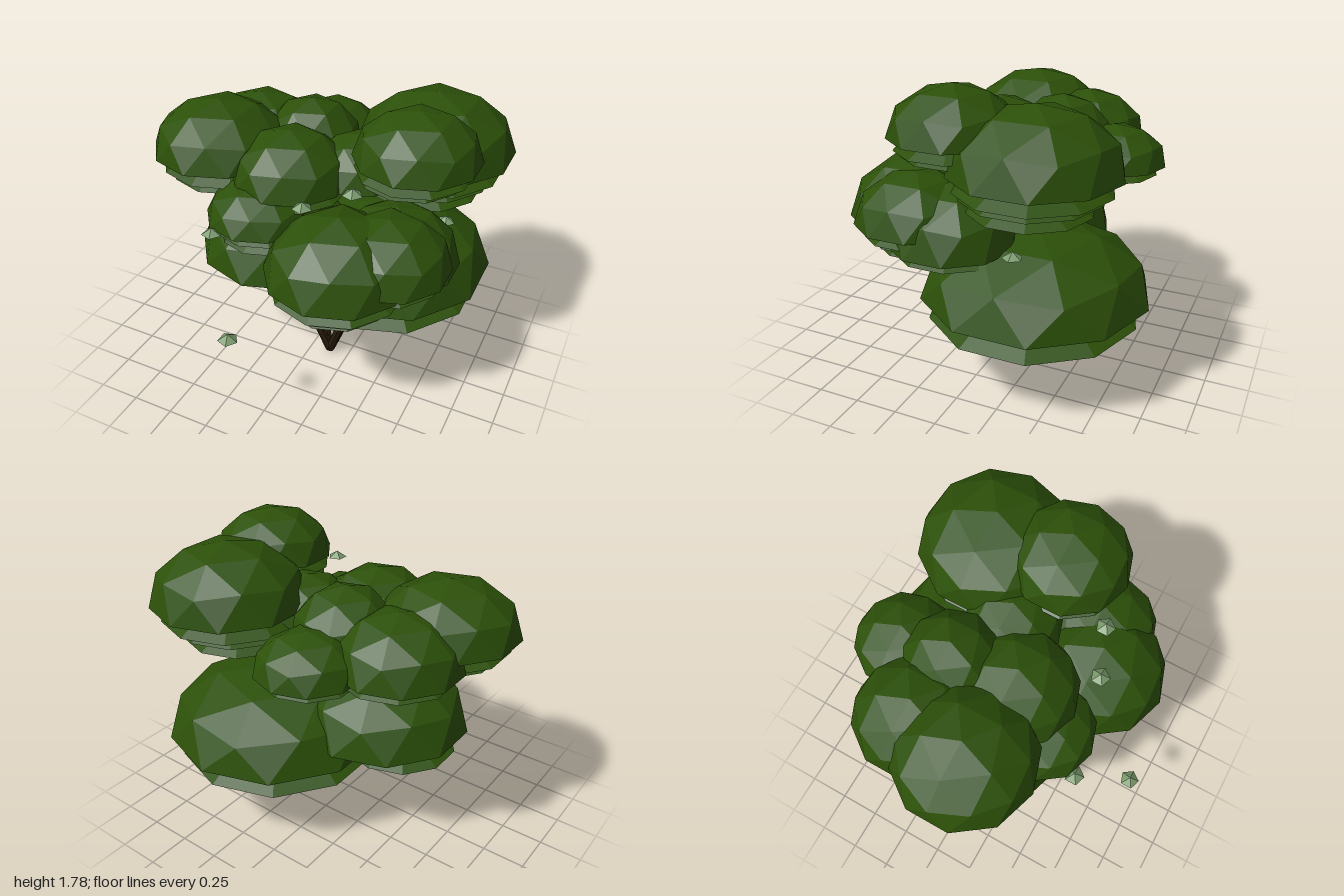
import * as THREE from 'three';

const mat = (name, color) => {
  const m = new THREE.MeshStandardMaterial({ color, flatShading: true });
  m.name = name;
  return m;
};

// Upper half of a low-poly sphere, pole up, with a flat closed underside
function domeGeometry() {
  const g = new THREE.IcosahedronGeometry(1, 1);
  g.rotateX(-Math.atan((1 + Math.sqrt(5)) / 2));
  g.rotateY(-Math.PI / 2);
  const p = g.attributes.position;
  for (let i = 0; i < p.count; i++) p.setY(i, Math.max(0, p.getY(i)));
  g.computeVertexNormals();
  return g;
}

// Straight tapered cylinder between two points
function limb(a, b, r0, r1, material) {
  const d = b.clone().sub(a);
  const mesh = new THREE.Mesh(new THREE.CylinderGeometry(r1, r0, d.length(), 7), material);
  mesh.position.copy(a).addScaledVector(d, 0.5);
  mesh.quaternion.setFromUnitVectors(new THREE.Vector3(0, 1, 0), d.normalize());
  return mesh;
}

export function createModel() {
  const tree = new THREE.Group();
  tree.name = 'tree';
  const leafGreen = mat('leaf green', 0x2c5009);
  const paleGreen = mat('pale green', 0x7a9a6c);
  const bark = mat('bark brown', 0x2b1d0a);
  const dome = domeGeometry();
  const skirt = new THREE.ConeGeometry(1, 0.55, 10).translate(0, 0.275, 0);
  const tuft = new THREE.ConeGeometry(0.058, 0.038, 5).translate(0, 0.019, 0).rotateY(0.3);
  const foot = new THREE.Vector3(0.125, 0.005, 0.095);

  function place(parent, name, geometry, material, x, y, z, r = 1, h = r) {
    const mesh = new THREE.Mesh(geometry, material);
    mesh.name = name;
    mesh.position.set(x, y, z);
    mesh.scale.set(r, h, r);
    parent.add(mesh);
  }

  // A crown dome with sharp-edged skirts below, each narrower and nearer the trunk
  function addClump(name, x, y, z, r, h, ...drops) {
    const clump = new THREE.Group();
    clump.name = name;
    place(clump, 'crown', dome, leafGreen, x, y, z, r, h);
    drops.forEach((drop, i) => {
      const inset = 0.03 * (i + 1);
      const sx = THREE.MathUtils.lerp(x, foot.x, inset);
      const sz = THREE.MathUtils.lerp(z, foot.z, inset);
      place(clump, 'skirt', skirt, leafGreen, sx, y - drop, sz, r * (1.01 - 0.09 * (i + 1)));
    });
    tree.add(clump);
  }

  // A trunk from the shared foot to an elbow, then a thinner branch up into a clump
  function addBranch(x, y, z) {
    const branch = new THREE.Group();
    branch.name = 'branch';
    const elbowX = x > 0.2 ? 0.32 : -0.05 + 0.06 * x;
    const elbow = new THREE.Vector3(elbowX, 0.56, 0.09 + 0.4 * (z - 0.1));
    branch.add(limb(foot, elbow, 0.028, 0.026, bark));
    branch.add(limb(elbow.clone().lerp(foot, 0.06), new THREE.Vector3(x, y, z), 0.022, 0.015, bark));
    tree.add(branch);
  }

  // Upper clumps
  addClump('backRightClump', 0.56, 1.35, -0.39, 0.465, 0.35, 0.09, 0.14, 0.22);
  addClump('topClump', 0.6, 1.5, 0.05, 0.35, 0.27, 0.07, 0.11);
  addClump('leftClump', -0.61, 1.31, 0.07, 0.41, 0.3, 0.08, 0.13);
  addClump('middleClump', -0.12, 1.25, 0.12, 0.35, 0.29, 0.06);
  addClump('backMiddleClump', -0.17, 1.25, -0.26, 0.31, 0.325, 0.06);
  addClump('backClump', -0.17, 1.21, -0.58, 0.3, 0.22, 0.05);
  addClump('backLeftClump', -0.53, 1.23, -0.29, 0.36, 0.3, 0.06);
  addClump('innerClump', 0.22, 1.25, -0.1, 0.29, 0.24);

  // Lower clumps
  addClump('frontSmallClump', -0.21, 1.09, 0.33, 0.31, 0.21, 0.05, 0.12);
  addClump('frontClump', 0.32, 0.915, 0.43, 0.415, 0.355, 0.095, 0.14, 0.195);
  addClump('rightClump', 0.56, 0.97, 0.31, 0.355, 0.285, 0.06);
  addClump('rightBackClump', 0.53, 0.87, 0.11, 0.37, 0.34, 0.05);
  addClump('lowerLeftClump', -0.27, 0.66, -0.02, 0.51, 0.38);
  addClump('lowerBackClump', 0.32, 0.56, -0.3, 0.66, 0.39, 0.135);
  place(tree, 'lowerLeftSkirt', skirt, leafGreen, -0.31, 0.605, 0.05, 0.38);
  place(tree, 'lowerLeftSkirt', skirt, leafGreen, -0.4, 0.54, -0.03, 0.33);

  // Branches, ending inside the clumps
  addBranch(-0.38, 1.34, 0.07);
  addBranch(-0.2, 1.12, 0.33);
  addBranch(-0.12, 1.28, 0.12);
  addBranch(-0.15, 1.27, -0.2);
  addBranch(0.52, 1.37, -0.36);
  addBranch(0.43, 1.3, -0.3);
  addBranch(0.47, 1.4, -0.1);
  addBranch(0.52, 1.0, 0.3);
  addBranch(0.5, 0.95, 0.11);

  // Pale leaf tufts
  const addTuft = (x, y, z) => place(tree, 'leafTuft', tuft, paleGreen, x, y, z);
  addTuft(-0.11, 0.635, 0.9);
  addTuft(-0.36, 1.075, 0.61);
  addTuft(0.14, 1.31, 0.49);
  addTuft(0.38, 1.4, 0.39);
  addTuft(0.69, 0.91, -0.32);
  addTuft(0.44, 1.02, -0.33);

  return tree;
}
